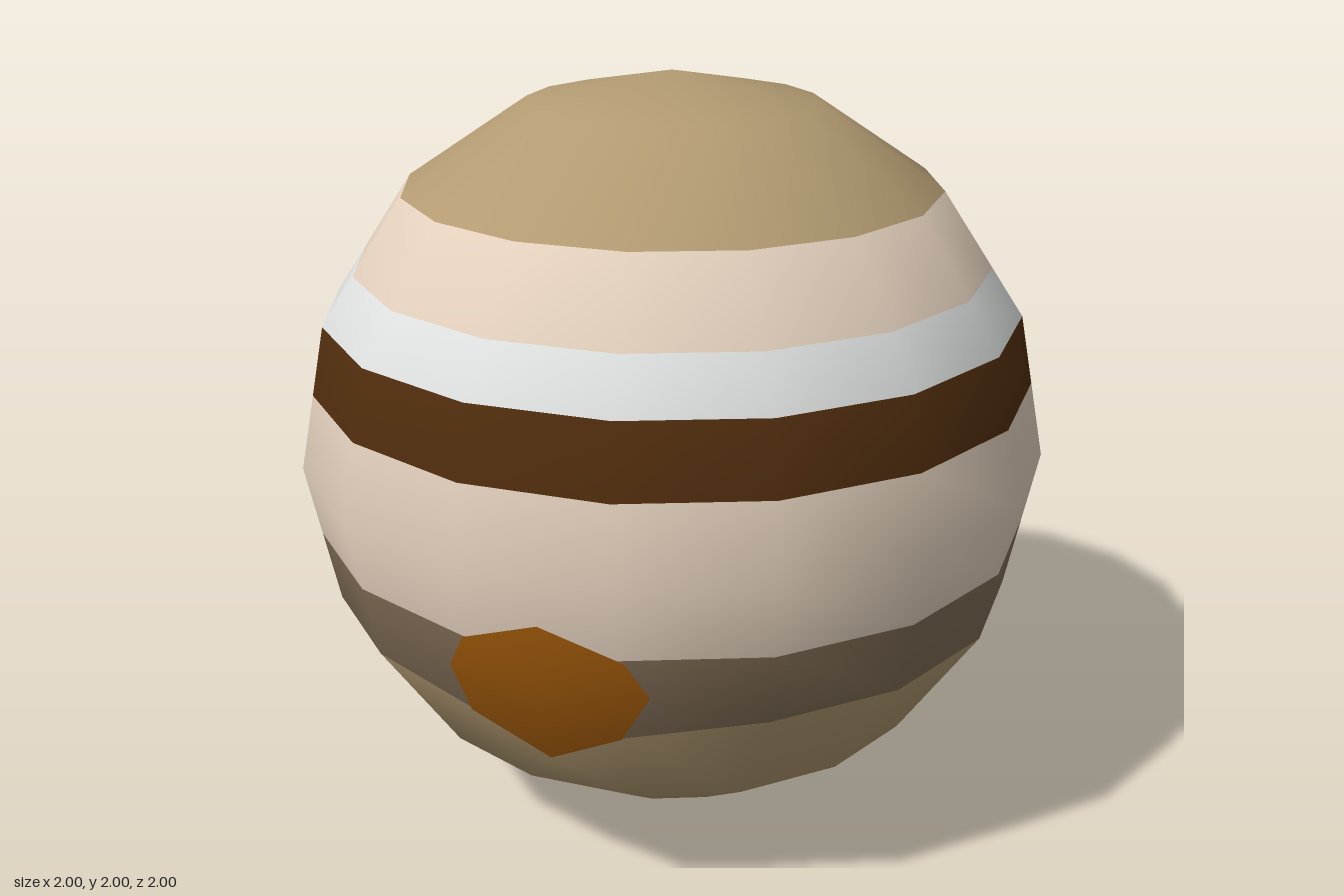
import * as THREE from 'three';

const SIDES = 16;
const CENTRE = new THREE.Vector3(0, 1, 0);
const mat = (name, color, side = THREE.FrontSide) => {
  const m = new THREE.MeshStandardMaterial({ color, side });
  m.name = name;
  return m;
};

// radius of the faceted ball at a height, straight between its eight rows
function radiusAt(y) {
  const a = Math.acos(THREE.MathUtils.clamp(1 - y, -1, 1));
  const step = Math.PI / 8;
  const i = Math.min(7, Math.floor(a / step + 1e-6));
  const y0 = 1 - Math.cos(i * step), y1 = 1 - Math.cos((i + 1) * step);
  const t = (y - y0) / (y1 - y0);
  return THREE.MathUtils.lerp(Math.sin(i * step), Math.sin((i + 1) * step), t);
}

const ROW = Array.from({ length: 9 }, (_, i) => 1 - Math.cos(i * Math.PI / 8));
const SPOT_LEFT = [-0.03, 0.575, 0.897], SPOT_RIGHT = [0.36, 0.575, 0.83];

// one ring corner; the row through the spot dips under it at two corners
function corner(y, k) {
  const c = k % SIDES;
  if (y === ROW[3] && c === 0) return SPOT_LEFT;
  if (y === ROW[3] && c === 1) return SPOT_RIGHT;
  const a = c * 2 * Math.PI / SIDES, r = radiusAt(y);
  return [r * Math.sin(a), y, r * Math.cos(a)];
}

// mesh from triangle corners, with smooth normals pointing away from the centre
function roundMesh(name, points, material) {
  const normals = points.flatMap(p => new THREE.Vector3(...p).sub(CENTRE).normalize().toArray());
  const g = new THREE.BufferGeometry();
  g.setAttribute('position', new THREE.Float32BufferAttribute(points.flat(), 3));
  g.setAttribute('normal', new THREE.Float32BufferAttribute(normals, 3));
  const mesh = new THREE.Mesh(g, material);
  mesh.name = name;
  return mesh;
}

// band of the ball through the given heights, from top to bottom
function band(name, heights, material) {
  const pts = [];
  for (let i = 0; i < heights.length - 1; i++) {
    const [hi, lo] = [heights[i], heights[i + 1]];
    for (let k = 0; k < SIDES; k++) {
      const a = corner(hi, k), b = corner(lo, k), c = corner(lo, k + 1), d = corner(hi, k + 1);
      if (lo > 0) pts.push(a, b, c);
      if (hi < 2) pts.push(a, c, d);
    }
  }
  return roundMesh(name, pts, material);
}

export function createModel() {
  const planet = new THREE.Group();
  planet.name = 'bandedPlanet';

  const tan = mat('tan', 0xb39b72);
  const peach = mat('peach', 0xe2cfbc);
  const white = mat('paleGrey', 0xe0e3e1);
  const brown = mat('darkBrown', 0x4f2c0d);
  const taupe = mat('taupe', 0x826e57);
  const orange = mat('orange', 0xa05a0a, THREE.DoubleSide);
  const grey = mat('darkGrey', 0x484848);

  planet.add(
    band('northCap', [2, ROW[7], ROW[6]], tan),
    band('upperPeachBand', [ROW[6], 1.51], peach),
    band('paleBand', [1.51, ROW[5]], white),
    band('brownBand', [ROW[5], 1.2], brown),
    band('equatorBand', [1.2, 1, 0.81], peach),
    band('taupeBand', [0.81, ROW[3]], taupe),
    band('southBand', [ROW[3], ROW[2], ROW[1]], tan),
    band('southCap', [ROW[1], 0], grey),
  );

  // storm spot: a shallow eight-sided patch on the front
  const rim = [
    [-0.06, 0.71, 0.942], [-0.03, 0.575, 0.903], [0.19, 0.5, 0.887], [0.36, 0.575, 0.837],
    [0.44, 0.71, 0.84], [0.4, 0.81, 0.887], [0.2, 0.88, 0.946], [0, 0.81, 0.968],
  ];
  const middle = [0.19, 0.7, 0.935];
  const fan = rim.flatMap((p, i) => [middle, p, rim[(i + 1) % rim.length]]);
  planet.add(roundMesh('stormSpot', fan, orange));

  // slope joining the spot's raised lower tip to the row below
  const tip = [0.19, 0.5, 0.885], d = corner(ROW[2], 0), e = corner(ROW[2], 1);
  planet.add(roundMesh('spotSlope',
    [SPOT_LEFT, d, tip, tip, d, e, tip, e, SPOT_RIGHT], tan));

  return planet;
}
